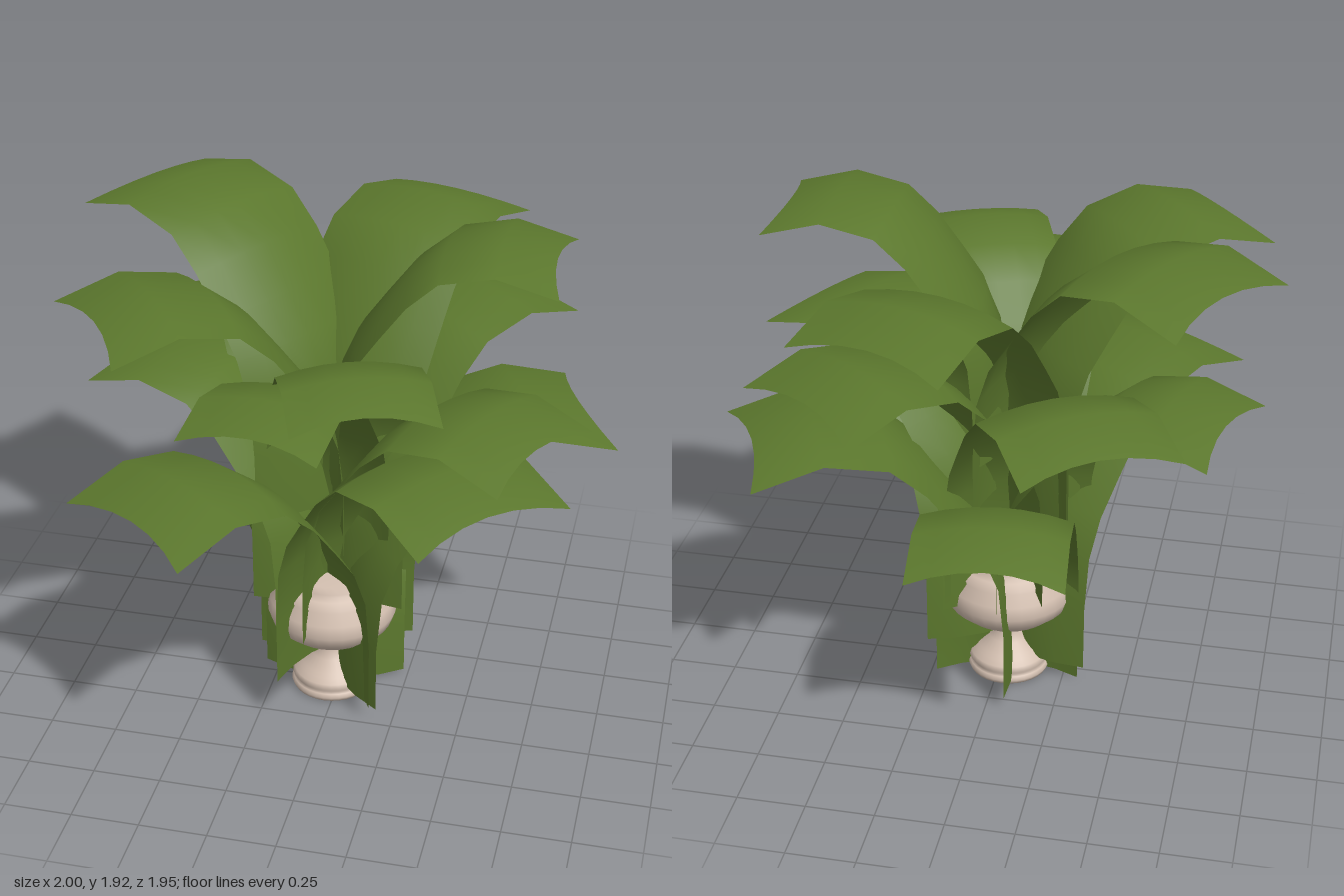
import * as THREE from 'three';

const leafMaterial = new THREE.MeshStandardMaterial({ color: 0x5b772d, side: THREE.DoubleSide });
leafMaterial.name = 'leaf green';
const stoneMaterial = new THREE.MeshStandardMaterial({ color: 0xd2beaf, side: THREE.DoubleSide });
stoneMaterial.name = 'pale stone';

// Leaf rows for reach 1: ridge radius, ridge height, edge radius, edge height
const ROWS = [
  [0, -1.03, 0.1, -1.03],
  [0.01, -0.76, 0.1, -0.76],
  [0.05, -0.52, 0.12, -0.54],
  [0.12, -0.36, 0.18, -0.38],
  [0.22, -0.22, 0.27, -0.25],
  [0.34, -0.06, 0.38, -0.1],
  [0.49, 0.06, 0.51, 0.02],
  [0.73, 0.11, 0.74, 0.07],
  [0.95, 0.045, 1, 0],
];
const HALF_WIDTH = 0.31;
const ACROSS = 6;

// Arching strip leaf running out along +x, with its outer corners at (1, 0)
function leafGeometry() {
  const positions = [];
  const index = [];
  ROWS.forEach(([ridgeR, ridgeY, edgeR, edgeY], i) => {
    for (let j = 0; j <= ACROSS; j++) {
      const u = (2 * j) / ACROSS - 1;
      positions.push(
        THREE.MathUtils.lerp(ridgeR, edgeR, u * u),
        THREE.MathUtils.lerp(ridgeY, edgeY, u * u),
        u * HALF_WIDTH
      );
      if (i > 0 && j > 0) {
        const d = i * (ACROSS + 1) + j;
        const b = d - ACROSS - 1;
        index.push(b - 1, b, d - 1, b, d, d - 1);
      }
    }
  });
  const geometry = new THREE.BufferGeometry();
  geometry.setAttribute('position', new THREE.Float32BufferAttribute(positions, 3));
  geometry.setIndex(index);
  geometry.computeVertexNormals();
  return geometry;
}

// Each leaf: direction in degrees (from +x towards +z), reach, tip height
const LEAVES = [
  [0, 0.82, 1.83], [211, 0.96, 1.8], [141.5, 0.915, 1.69], [289, 0.935, 1.69],
  [69, 0.8, 1.54], [97.5, 0.8, 1.44], [307.7, 0.94, 1.405], [239.5, 0.915, 1.325],
  [26, 0.92, 1.3], [196, 0.875, 1.21], [44.4, 0.99, 1.185], [334.5, 0.985, 1.07],
  [123.8, 0.97, 1.07], [264.4, 0.87, 0.9],
];

// Turned urn: foot, neck, belly and rim
const URN = [
  [0, 0], [0.15, 0], [0.156, 0.015], [0.15, 0.03], [0.14, 0.035], [0.152, 0.05],
  [0.145, 0.07], [0.125, 0.085], [0.115, 0.1], [0.075, 0.135], [0.058, 0.17], [0.055, 0.2],
  [0.1, 0.215], [0.18, 0.26], [0.23, 0.305], [0.245, 0.35], [0.237, 0.4], [0.205, 0.44],
  [0.21, 0.455], [0.185, 0.475], [0.165, 0.485], [0.17, 0.5], [0.15, 0.52], [0, 0.52],
];

export function createModel() {
  const model = new THREE.Group();
  model.name = 'pottedPlant';

  const urn = new THREE.Mesh(
    new THREE.LatheGeometry(URN.map(([r, y]) => new THREE.Vector2(r, y)), 32),
    stoneMaterial
  );
  urn.name = 'urn';
  model.add(urn);

  const foliage = new THREE.Group();
  foliage.name = 'foliage';
  const geometry = leafGeometry();
  LEAVES.forEach(([angle, reach, tipY], i) => {
    const leaf = new THREE.Mesh(geometry, leafMaterial);
    leaf.name = `leaf${i + 1}`;
    leaf.scale.setScalar(reach);
    leaf.rotation.y = -THREE.MathUtils.degToRad(angle);
    leaf.position.y = tipY;
    foliage.add(leaf);
  });
  model.add(foliage);

  // The urn stands slightly off the middle of the spread of leaves
  urn.position.x = foliage.position.x = -0.03;
  return model;
}
